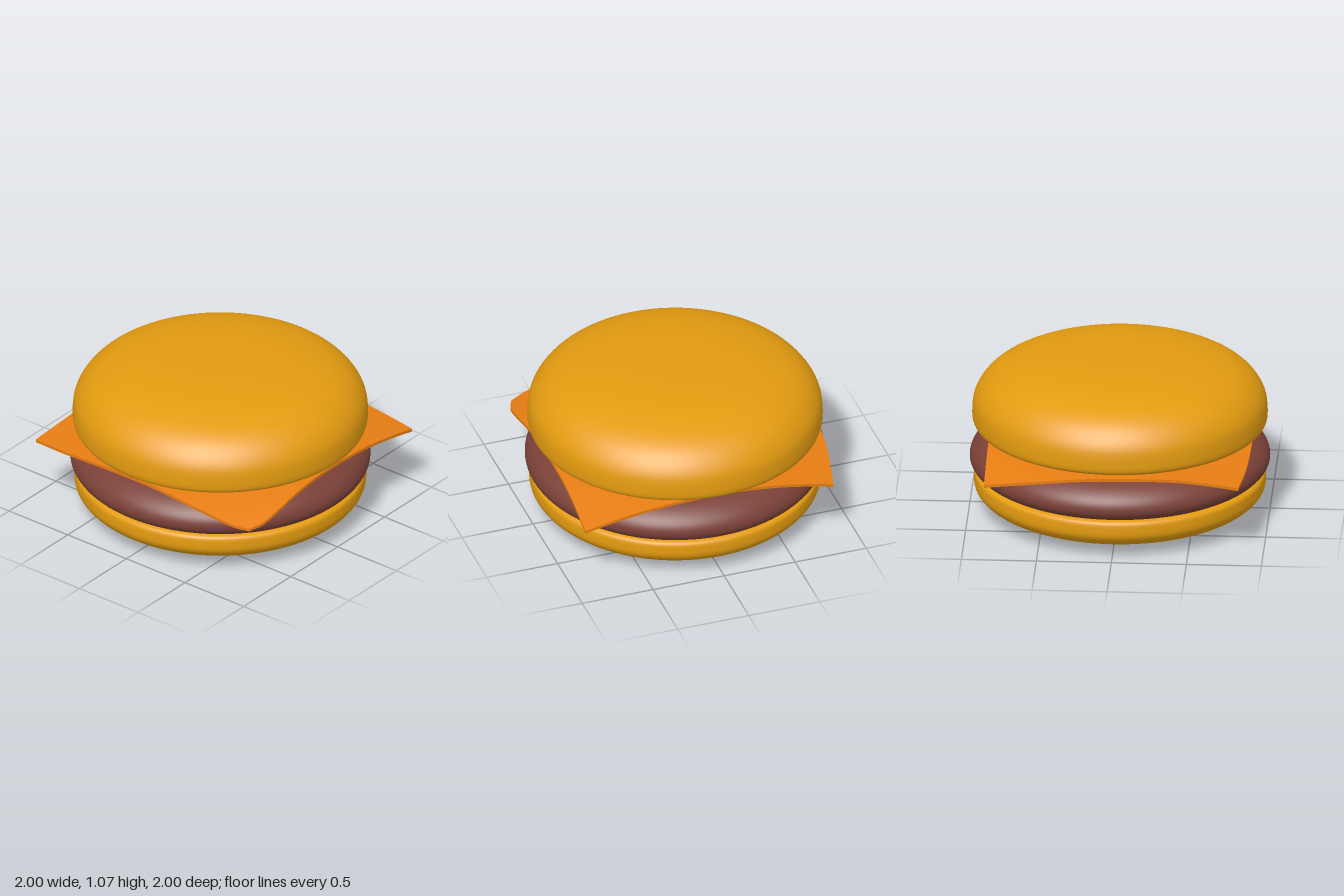
import * as THREE from 'three';

const paint = (color) => new THREE.MeshStandardMaterial({ color });

// Round layer: a smooth profile of [radius, y] points, bottom to top, turned about y
function roundLayer(name, profile, material) {
  const curve = new THREE.CatmullRomCurve3(profile.map(([r, y]) => new THREE.Vector3(r, y, 0)));
  const points = curve.getPoints(60).map((p) => new THREE.Vector2(Math.max(p.x, 0), p.y));
  const mesh = new THREE.Mesh(new THREE.LatheGeometry(points, 96), material);
  mesh.name = name;
  return mesh;
}

// Outline edge through [x, z] points
const edge = (pts) => new THREE.CatmullRomCurve3(pts.map(([x, z]) => new THREE.Vector3(x, 0, z)));

// Cheese slice: a thin slab fitted to four wavy edges, corners drooping over the patty
function cheeseSlice(material) {
  const back = edge([[-0.82, -0.86], [-0.4, -0.86], [0, -0.86], [0.45, -0.86], [0.935, -0.875]]);
  const front = edge([[-0.9, 0.84], [-0.66, 0.875], [-0.4, 0.89], [0, 0.895], [0.45, 0.885], [0.78, 0.835], [0.88, 0.79]]);
  const left = edge([[-0.82, -0.86], [-0.9, -0.45], [-0.915, 0], [-0.885, 0.45], [-0.9, 0.84]]);
  const right = edge([[0.935, -0.875], [0.915, -0.45], [0.915, 0], [0.925, 0.4], [0.93, 0.55], [0.92, 0.69], [0.88, 0.79]]);
  const corners = [back.getPoint(0), back.getPoint(1), front.getPoint(0), front.getPoint(1)];

  const geometry = new THREE.BoxGeometry(1, 0.02, 1, 32, 1, 32);
  const pos = geometry.attributes.position;
  for (let i = 0; i < pos.count; i++) {
    const u = THREE.MathUtils.clamp(pos.getX(i) + 0.5, 0, 1);
    const v = THREE.MathUtils.clamp(pos.getZ(i) + 0.5, 0, 1);
    const p = new THREE.Vector3()
      .addScaledVector(back.getPoint(u), 1 - v).addScaledVector(front.getPoint(u), v)
      .addScaledVector(left.getPoint(v), 1 - u).addScaledVector(right.getPoint(v), u)
      .addScaledVector(corners[0], -(1 - u) * (1 - v)).addScaledVector(corners[1], -u * (1 - v))
      .addScaledVector(corners[2], -(1 - u) * v).addScaledVector(corners[3], -u * v);
    // each corner hangs by its own amount
    const a = (p.x / 0.9) ** 2, b = (p.z / 0.88) ** 2;
    const hang = p.z > 0 ? (p.x > 0 ? 0.145 : 0.06) : (p.x > 0 ? 0.08 : 0.135);
    const y = 0.595 - 0.035 * (a + b - a * b) - hang * a * b;
    pos.setXYZ(i, p.x, y + pos.getY(i), p.z);
  }
  geometry.computeVertexNormals();
  const mesh = new THREE.Mesh(geometry, material);
  mesh.name = 'cheeseSlice';
  return mesh;
}

export function createModel() {
  const group = new THREE.Group();
  group.name = 'cheeseburger';
  const bun = paint(0xe39b10);

  group.add(
    roundLayer('bottomBun', [
      [0, 0], [0.3, 0.004], [0.55, 0.018], [0.78, 0.05], [0.91, 0.1], [0.965, 0.16],
      [0.972, 0.22], [0.965, 0.262], [0.94, 0.277], [0.85, 0.28], [0.4, 0.28], [0, 0.28],
    ], bun),
    roundLayer('patty', [
      [0, 0.265], [0.4, 0.265], [0.88, 0.267], [0.95, 0.29], [0.99, 0.33], [1, 0.37], [0.987, 0.415],
      [0.95, 0.46], [0.88, 0.505], [0.75, 0.545], [0.5, 0.567], [0, 0.575],
    ], paint(0x7b4138)),
    cheeseSlice(paint(0xe67d12)),
    roundLayer('topBun', [
      [0, 0.606], [0.4, 0.606], [0.86, 0.606], [0.95, 0.612], [0.977, 0.635], [0.983, 0.7], [0.967, 0.8],
      [0.9, 0.9], [0.79, 0.975], [0.6, 1.03], [0.35, 1.06], [0, 1.07],
    ], bun),
  );
  return group;
}
